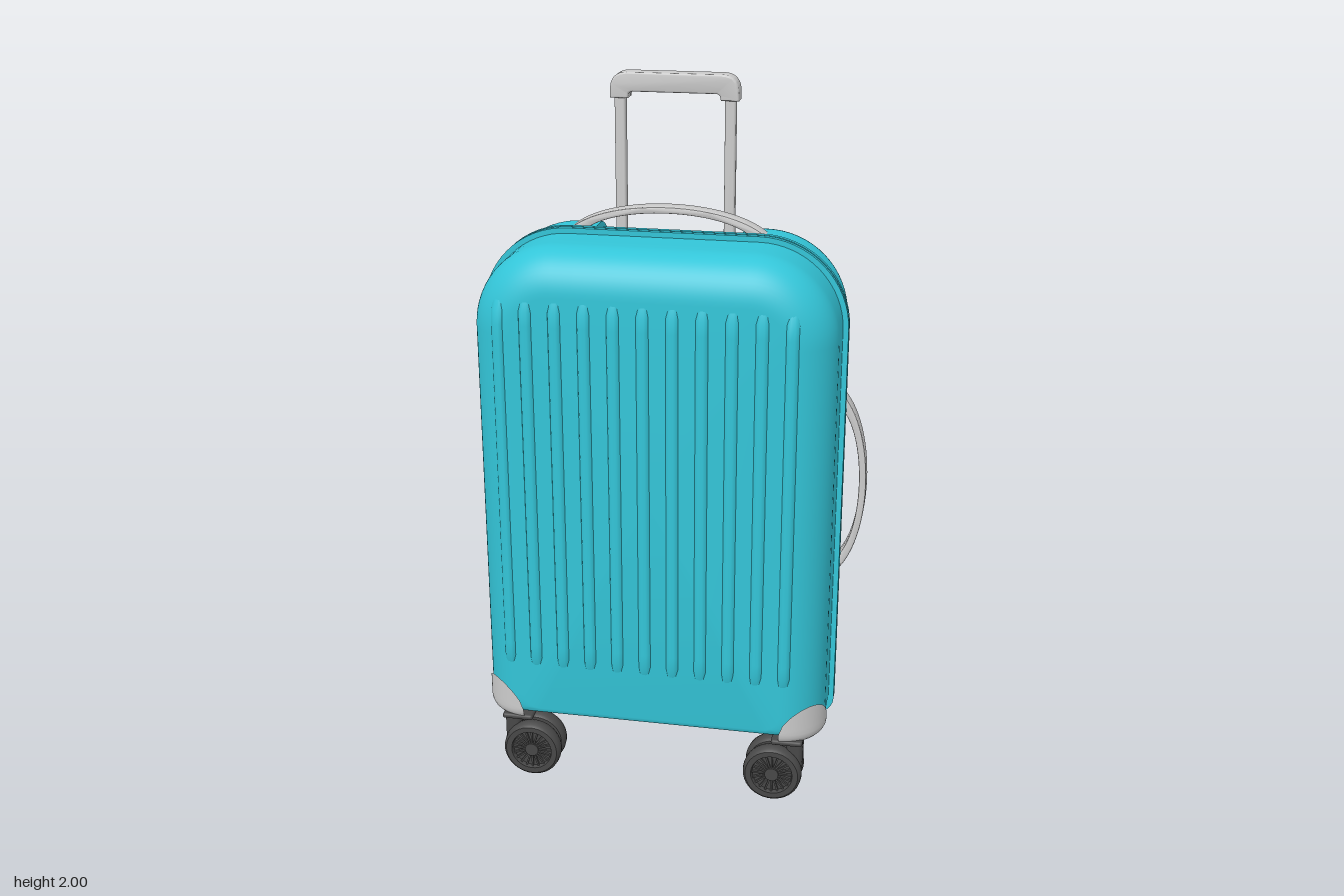
import * as THREE from 'three';
import { mergeGeometries, toCreasedNormals } from 'three/addons/utils/BufferGeometryUtils.js';
import { RoundedBoxGeometry } from 'three/addons/geometries/RoundedBoxGeometry.js';

const CX = -0.0325;                      // middle of the case in x
const W = 0.4925, TOP = 1.59, BOTTOM = 0.19;
const R = 0.23, RB = 0.05;               // top and bottom corner radii
const EDGE = 0.12, ZF = 0.236;           // width of the rounded edge, face depth

const teal = new THREE.MeshStandardMaterial({ color: 0x33c5d8 });
const grey = new THREE.MeshStandardMaterial({ color: 0xcccccc });
const dark = new THREE.MeshStandardMaterial({ color: 0x484848 });

function add(parent, name, geometry, material, x = 0, y = 0, z = 0) {
  const mesh = new THREE.Mesh(geometry, material);
  mesh.name = name;
  mesh.position.set(x, y, z);
  parent.add(mesh);
  return mesh;
}

// Surface through rows of points; optionally closed around and capped at the last row
function loft(rows, closed = false, cap = false) {
  const n = rows[0].length, pos = rows.flat(2), index = [];
  for (let r = 0; r < rows.length - 1; r++)
    for (let i = 0; i < (closed ? n : n - 1); i++) {
      const j = (i + 1) % n, a = r * n + i, b = r * n + j;
      index.push(a, b, b + n, a, b + n, a + n);
    }
  if (cap) {
    const last = rows[rows.length - 1], o = (rows.length - 1) * n;
    pos.push(0, 0.9, last[0][2]);
    for (let i = 0; i < n; i++) index.push(o + i, o + (i + 1) % n, rows.length * n);
  }
  const g = new THREE.BufferGeometry();
  g.setAttribute('position', new THREE.Float32BufferAttribute(pos, 3));
  g.setIndex(index);
  g.computeVertexNormals();
  return g;
}

// Front outline of the case, moved in by d (by db at the bottom), counter-clockwise
function outline(d, db) {
  const pts = [], w = W - d, top = TOP - d, bot = BOTTOM + db, r = R - d;
  const arc = (x, y, rad, start, n) => {
    for (let i = 0; i <= n; i++) {
      const a = start + (i / n) * Math.PI / 2;
      pts.push([x + rad * Math.cos(a), y + rad * Math.sin(a)]);
    }
  };
  arc(-w + RB, bot + RB, RB, Math.PI, 6);
  arc(w - RB, bot + RB, RB, Math.PI * 1.5, 6);
  arc(w - r, top - r, r, 0, 16);
  for (const x of [0.203, 0.2, -0.2, -0.203]) pts.push([x, top]);
  arc(-w + r, top - r, r, Math.PI / 2, 16);
  return pts;
}

// Half shell; the back one has a flat pocket for the pull handle
function halfShell(pocket) {
  const rows = [];
  const section = (d, db, z) => rows.push(outline(d, db).map(([x, y]) =>
    [x, pocket && z > 0.051 && Math.abs(x) < 0.201 && y > 1.54 ? 1.54 : y, z]));
  for (const z of [0, 0.05, 0.053, 0.09]) section(0, 0, z);
  for (let i = 0; i <= 14; i++) {
    const t = (i / 14) * Math.PI / 2, c = 1 - Math.cos(t);
    section(EDGE * c, 0.04 * c, EDGE + (ZF - EDGE) * Math.sin(t));
  }
  return toCreasedNormals(loft(rows, true, true), 0.6);
}

// Depth of the shell surface at a point of the front face
function surfaceZ(x, y) {
  const dx = W - Math.abs(x), dy = TOP - y;
  let d = Math.min(dx, dy);
  if (dx < R && dy < R) d = R - Math.hypot(R - dx, R - dy);
  const k = 1 - Math.min(Math.max(d, 0), EDGE) / EDGE;
  return EDGE + (ZF - EDGE) * Math.sqrt(1 - k * k);
}

// Raised rib that follows the shell
function rib(x0) {
  const rows = [], steps = 28;
  const profile = [[-0.019, -0.004], [-0.014, 0.005], [-0.006, 0.008], [0.006, 0.008], [0.014, 0.005], [0.019, -0.004]];
  for (let i = 0; i <= steps; i++) {
    const y = 0.36 + 1.11 * i / steps;
    const end = i === 0 || i === steps ? 0.3 : 1;
    rows.push(profile.map(([px, h]) => {
      const x = x0 + px * (end < 1 ? 0.6 : 1);
      return [x, y, surfaceZ(x, y) + (end < 1 ? -0.004 : h)];
    }));
  }
  return loft(rows);
}

// Corner guard wrapped around a lower corner, s is the side
function cornerGuard(s) {
  const rows = [], n = 20, rx = EDGE + 0.005, rz = ZF - EDGE + 0.005;
  for (let v = 0; v <= 10; v++) {
    const row = [];
    for (let i = 0; i <= n; i++) {
      const u = i / n, a = (1 - u) * Math.PI / 2;
      const h = 0.035 + 0.085 * Math.pow(Math.max(Math.sin(2 * a), 0), 0.6);
      const t = Math.min(v / 5, 1) * Math.PI / 2;
      const k = v === 0 ? 0.4 : 0.75 + 0.25 * Math.sin(t);
      const y = BOTTOM - 0.003 + 0.035 * (1 - Math.cos(t)) + (v > 5 ? (h - 0.035) * (v - 5) / 5 : 0);
      row.push([s * (W - EDGE + rx * k * Math.cos(a)), y, EDGE + rz * k * Math.sin(a)]);
    }
    rows.push(s > 0 ? row : row.reverse());
  }
  return loft(rows);
}

// Bowed carrying handle lying along x, rising in y
function bowHandle(length, rise, thick, width) {
  const h = length / 2, s = new THREE.Shape();
  s.moveTo(-h, 0);
  s.bezierCurveTo(-h * 0.6, rise * 1.33, h * 0.6, rise * 1.33, h, 0);
  s.lineTo(h - 0.045, 0);
  s.bezierCurveTo(h * 0.52, (rise - thick) * 1.33, -h * 0.52, (rise - thick) * 1.33, -h + 0.045, 0);
  const b = 0.004;
  const g = new THREE.ExtrudeGeometry(s, { depth: width - 2 * b, curveSegments: 28, bevelSize: b, bevelThickness: b, bevelOffset: -b, bevelSegments: 2 });
  return toCreasedNormals(g.translate(0, 0, -width / 2 + b), 0.6);
}

// Twin caster wheel, s is the side its stem stands on
function caster(s) {
  const g = new THREE.Group();
  g.name = 'caster';
  const tyre = [[0.06, -0.022], [0.076, -0.022], [0.083, -0.015], [0.085, 0], [0.083, 0.015], [0.076, 0.022], [0.06, 0.022], [0.057, 0.012], [0.057, -0.012], [0.06, -0.022]]
    .map(p => new THREE.Vector2(...p));
  for (const f of [-1, 1]) {
    const wheel = new THREE.Group();
    wheel.name = 'wheel';
    wheel.position.z = f * 0.03;
    add(wheel, 'tyre', toCreasedNormals(new THREE.LatheGeometry(tyre, 40).rotateX(Math.PI / 2), 0.7), dark);
    add(wheel, 'rim', new THREE.CylinderGeometry(0.058, 0.058, 0.016, 40).rotateX(Math.PI / 2), dark);
    add(wheel, 'hub', new THREE.CylinderGeometry(0.02, 0.02, 0.04, 24).rotateX(Math.PI / 2), dark);
    const spokes = [];
    for (let i = 0; i < 20; i++)
      spokes.push(new THREE.BoxGeometry(0.04, 0.005, 0.03).translate(0.038, 0, 0).rotateZ(i * Math.PI / 10));
    add(wheel, 'spokes', mergeGeometries(spokes), dark);
    g.add(wheel);
  }
  add(g, 'fork', new THREE.CylinderGeometry(0.06, 0.06, 0.02, 32).rotateX(Math.PI / 2), dark);
  add(g, 'stem', new RoundedBoxGeometry(0.046, 0.11, 0.058, 3, 0.014), dark, s * 0.061, 0.056, 0);
  add(g, 'mountPlate', new RoundedBoxGeometry(0.09, 0.016, 0.1, 2, 0.007), dark, s * 0.04, 0.106, 0);
  return g;
}

export function createModel() {
  const model = new THREE.Group();
  model.name = 'suitcase';

  // Two half shells with ribs, corner guards and casters
  for (const back of [false, true]) {
    const half = new THREE.Group();
    half.name = back ? 'backHalf' : 'frontHalf';
    half.position.x = CX;
    half.rotation.y = back ? Math.PI : 0;
    add(half, 'shell', halfShell(back), teal);
    for (let i = -5; i <= 5; i++) add(half, 'rib', rib(-0.013 + 0.079 * i), teal);
    for (const s of [-1, 1]) {
      add(half, 'cornerGuard', cornerGuard(s), grey);
      const c = caster(s);
      c.position.set(s * 0.355, 0.085, 0.184);
      half.add(c);
    }
    model.add(half);
  }

  // Seam bands around the middle
  const seam = new THREE.Shape(outline(-0.015, -0.013).map(p => new THREE.Vector2(...p)));
  for (const z of [-0.018, 0.003])
    add(model, 'seamBand', toCreasedNormals(new THREE.ExtrudeGeometry(seam, { depth: 0.015, bevelEnabled: false }), 0.6), teal, CX, 0, z);
  const core = new THREE.Shape(outline(-0.007, -0.006).map(p => new THREE.Vector2(...p)));
  add(model, 'seamGroove', new THREE.ExtrudeGeometry(core, { depth: 0.008, bevelEnabled: false }), dark, CX, 0, -0.004);

  // Carrying handles on the top and on the left side
  add(model, 'topHandle', bowHandle(0.545, 0.07, 0.018, 0.05), grey, CX, 1.587, -0.075);
  add(model, 'sideHandle', bowHandle(0.54, 0.075, 0.02, 0.05).rotateZ(-Math.PI / 2), grey, 0.463, 0.89, -0.053);

  // Telescopic pull handle
  for (const x of [-0.185, 0.12])
    add(model, 'pullTube', new RoundedBoxGeometry(0.03, 0.44, 0.03, 2, 0.006), grey, x, 1.74, -0.172);
  const g = new THREE.Shape();
  g.moveTo(-0.172, 1.935);
  g.lineTo(-0.132, 1.935);
  g.quadraticCurveTo(-0.13, 1.953, -0.115, 1.953);
  g.lineTo(0.115, 1.953);
  g.quadraticCurveTo(0.13, 1.953, 0.132, 1.935);
  g.lineTo(0.172, 1.935);
  g.lineTo(0.172, 1.955);
  g.quadraticCurveTo(0.17, 1.995, 0.13, 1.995);
  g.lineTo(-0.13, 1.995);
  g.quadraticCurveTo(-0.17, 1.995, -0.172, 1.955);
  const grip = new THREE.ExtrudeGeometry(g, { depth: 0.044, bevelSize: 0.005, bevelThickness: 0.005, bevelSegments: 3 });
  add(model, 'pullGrip', toCreasedNormals(grip, 0.6), grey, CX, 0, -0.194);
  return model;
}
